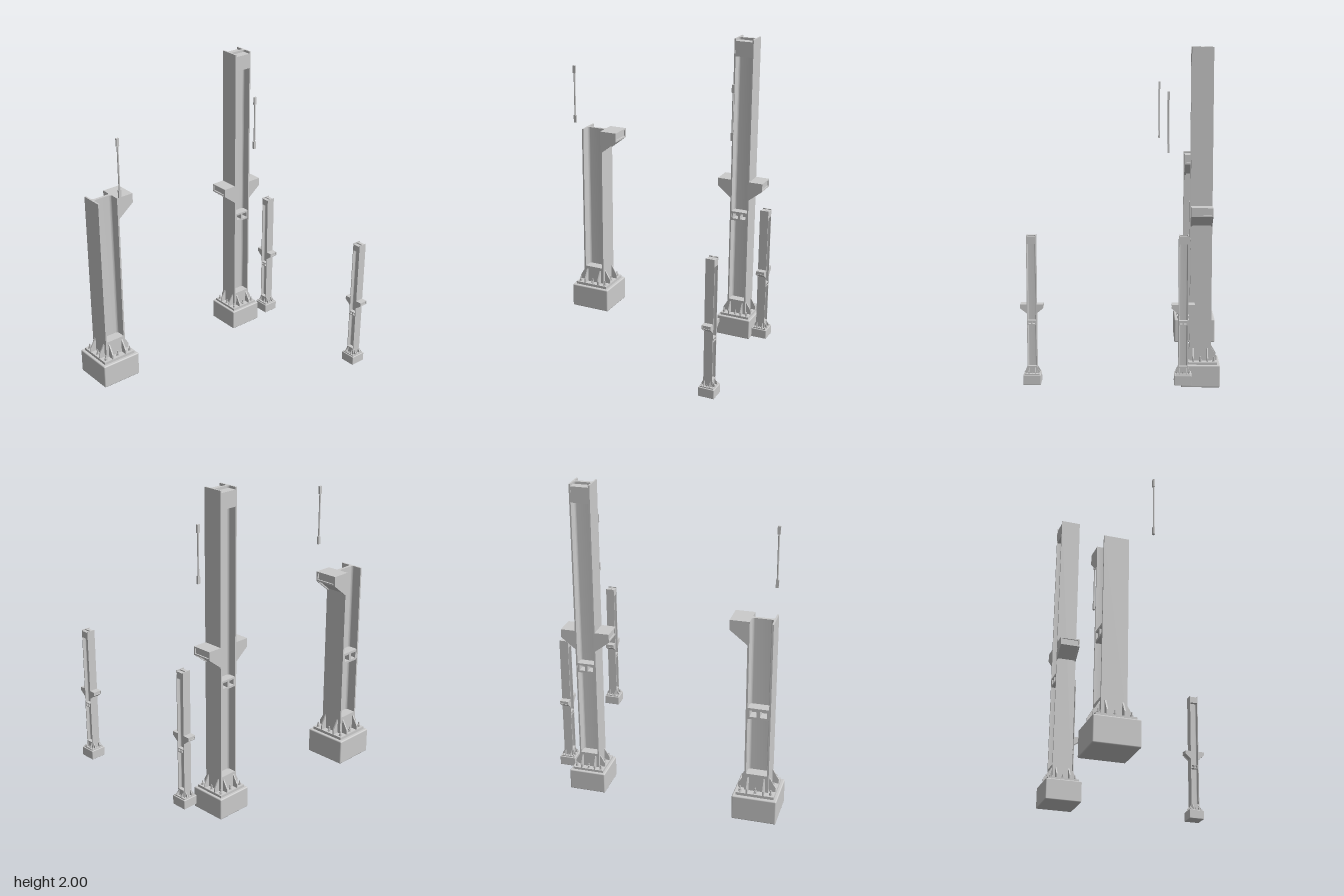
import * as THREE from 'three';
import { toCreasedNormals } from 'three/addons/utils/BufferGeometryUtils.js';
import { RoundedBoxGeometry } from 'three/addons/geometries/RoundedBoxGeometry.js';

const grey = new THREE.MeshStandardMaterial({ color: 0xcccccc });

// Shared section sizes: half width, flange and half web thickness, root fillet
const HALF = 0.075, FLANGE = 0.011, WEB = 0.009, FILLET = 0.016;
const FOOT_TOP = 0.16, PLATE_TOP = 0.178;

function add(parent, geometry, name, x = 0, y = 0, z = 0) {
  const mesh = new THREE.Mesh(geometry, grey);
  mesh.name = name;
  mesh.position.set(x, y, z);
  parent.add(mesh);
  return mesh;
}

function box(parent, name, w, h, d, x, y, z) {
  return add(parent, new THREE.BoxGeometry(w, h, d), name, x, y, z);
}

function polygon(points) {
  return new THREE.Shape(points.map(([x, y]) => new THREE.Vector2(x, y)));
}

// Extrusion centred on z = 0
function slab(shape, depth) {
  const g = new THREE.ExtrudeGeometry(shape, { depth, bevelEnabled: false, curveSegments: 5 });
  return g.translate(0, 0, -depth / 2);
}

// H section with filleted roots, flanges at both x ends
function hSection() {
  const a = HALF, i = HALF - FLANGE, w = WEB, r = FILLET, s = new THREE.Shape();
  s.moveTo(-a, -a);
  s.lineTo(-i, -a);
  s.lineTo(-i, -w - r);
  s.absarc(-i + r, -w - r, r, Math.PI, Math.PI / 2, true);
  s.lineTo(i - r, -w);
  s.absarc(i - r, -w - r, r, Math.PI / 2, 0, true);
  s.lineTo(i, -a);
  s.lineTo(a, -a);
  s.lineTo(a, a);
  s.lineTo(i, a);
  s.lineTo(i, w + r);
  s.absarc(i - r, w + r, r, 0, -Math.PI / 2, true);
  s.lineTo(-i + r, w);
  s.absarc(-i + r, w + r, r, -Math.PI / 2, -Math.PI, true);
  s.lineTo(-i, a);
  s.lineTo(-a, a);
  s.closePath();
  return s;
}

// Tapered bracket growing from a flange towards +x
function haunch(side) {
  const g = new THREE.Group();
  g.name = 'haunchBracket';
  const L = 0.106, H = 0.146, E = 0.062, t = 0.01;
  const cheek = polygon([[0, -H], [L, -E], [L, 0], [0, 0]]);
  for (const s of [-1, 1]) add(g, slab(cheek, t), 'haunchCheek', 0, 0, s * (HALF - t / 2));
  const core = polygon([[0, -H + t], [L - t, -E + t * 0.5], [L - t, -t / 2], [0, -t / 2]]);
  add(g, slab(core, 2 * (HALF - t)), 'haunchCore');
  box(g, 'haunchTopPlate', L, t, 2 * (HALF - t), L / 2, -t / 2, 0);
  box(g, 'haunchLip', t, t, 2 * (HALF - t), L - t / 2, -E + t / 2, 0);
  g.position.set(side * HALF, 1.285, 0);
  if (side < 0) g.rotation.y = Math.PI;
  return g;
}

// Block between the flanges with two square windows
function windowBlock(side, y) {
  const w = HALF - FLANGE, h = 0.036, depth = HALF - WEB - 0.002;
  const s = polygon([[-w, -h], [w, -h], [w, h], [-w, h]]);
  for (const c of [-1, 1]) {
    const x = c * 0.031, r = 0.021;
    s.holes.push(new THREE.Path([[-r, -r], [-r, r], [r, r], [r, -r]]
      .map(([px, py]) => new THREE.Vector2(x + px, py))));
  }
  const mesh = new THREE.Mesh(slab(s, depth), grey);
  mesh.name = 'windowBlock';
  mesh.position.set(0, y, side * (WEB + depth / 2));
  return mesh;
}

// Footing, base plate, anchor bolts and gussets
function base() {
  const g = new THREE.Group();
  g.name = 'base';
  add(g, new RoundedBoxGeometry(0.274, FOOT_TOP, 0.274, 2, 0.008), 'footing', 0, FOOT_TOP / 2, 0);
  box(g, 'basePlate', 0.234, PLATE_TOP - FOOT_TOP + 0.004, 0.234, 0, (PLATE_TOP + FOOT_TOP) / 2 - 0.002, 0);
  for (const i of [-1, 0, 1]) for (const k of [-1, 0, 1]) {
    if (!i && !k) continue;
    const x = i * 0.094, z = k * 0.094;
    add(g, new THREE.CylinderGeometry(0.011, 0.011, 0.004, 16), 'washer', x, PLATE_TOP + 0.002, z);
    add(g, new THREE.CylinderGeometry(0.009, 0.009, 0.012, 6), 'anchorNut', x, PLATE_TOP + 0.009, z);
    add(g, new THREE.CylinderGeometry(0.0045, 0.0045, 0.03, 10), 'anchorBolt', x, PLATE_TOP + 0.018, z);
  }
  const fin = slab(polygon([[0.06, PLATE_TOP], [0.115, PLATE_TOP], [0.115, 0.205], [0.077, 0.27], [0.06, 0.27]]), 0.009);
  for (let q = 0; q < 4; q++) {
    const side = new THREE.Group();
    side.name = 'gussets';
    side.rotation.y = q * Math.PI / 2;
    for (const s of [-1, 1]) add(side, fin, 'gusset', 0, 0, s * 0.05);
    g.add(side);
  }
  // Stiffener boxes filling the foot of the web
  for (const s of [-1, 1])
    box(g, 'baseStiffener', 2 * (HALF - FLANGE), 0.115, HALF - WEB, 0, 0.233, s * (HALF + WEB) / 2);
  return g;
}

function column({ name, height, haunches, windows, windowY, cap, scale = 1, position, turn = 0 }) {
  const g = new THREE.Group();
  g.name = name;
  g.add(base());
  const shaft = slab(hSection(), height - FOOT_TOP).rotateX(-Math.PI / 2);
  add(g, toCreasedNormals(shaft, 0.6), 'shaft', 0, (height + FOOT_TOP) / 2, 0);
  for (const s of haunches) g.add(haunch(s));
  for (const s of windows) g.add(windowBlock(s, windowY));
  if (cap) for (const s of [-1, 1])
    box(g, 'capBlock', 2 * (HALF - FLANGE), 0.115, HALF - WEB - 0.002, 0, height - 0.075, s * (HALF + WEB - 0.002) / 2);
  g.scale.setScalar(scale);
  g.position.set(...position);
  g.rotation.y = turn;
  return g;
}

// Thin tie rod with flat end tabs
function tieRod(x, z, bottom, top) {
  const g = new THREE.Group();
  g.name = 'tieRod';
  const len = top - bottom;
  add(g, new THREE.CylinderGeometry(0.0055, 0.0055, len - 0.06, 12), 'rod');
  for (const s of [-1, 1]) box(g, 'rodEnd', 0.018, 0.05, 0.012, 0, s * (len / 2 - 0.025), 0);
  g.position.set(x, (bottom + top) / 2, z);
  return g;
}

export function createModel() {
  const model = new THREE.Group();
  model.name = 'steelColumns';
  model.add(column({
    name: 'shortColumn', height: 1.285, haunches: [1], windows: [-1], windowY: 0.7,
    position: [-0.593, 0, -0.461],
  }));
  const tall = { height: 2.377, haunches: [-1, 1], windows: [-1, 1], windowY: 0.994, cap: true };
  model.add(column({ ...tall, name: 'tallColumn', scale: 0.835, position: [0.48, 0.015, -0.446] }));
  for (const z of [-0.338, 0.532])
    model.add(column({ ...tall, name: 'smallColumn', scale: 0.367, position: [0.677, 0.068, z], turn: Math.PI / 2 }));
  model.add(tieRod(-0.62, -0.218, 1.38, 1.76));
  model.add(tieRod(0.47, -0.253, 1.39, 1.745));
  return model;
}
